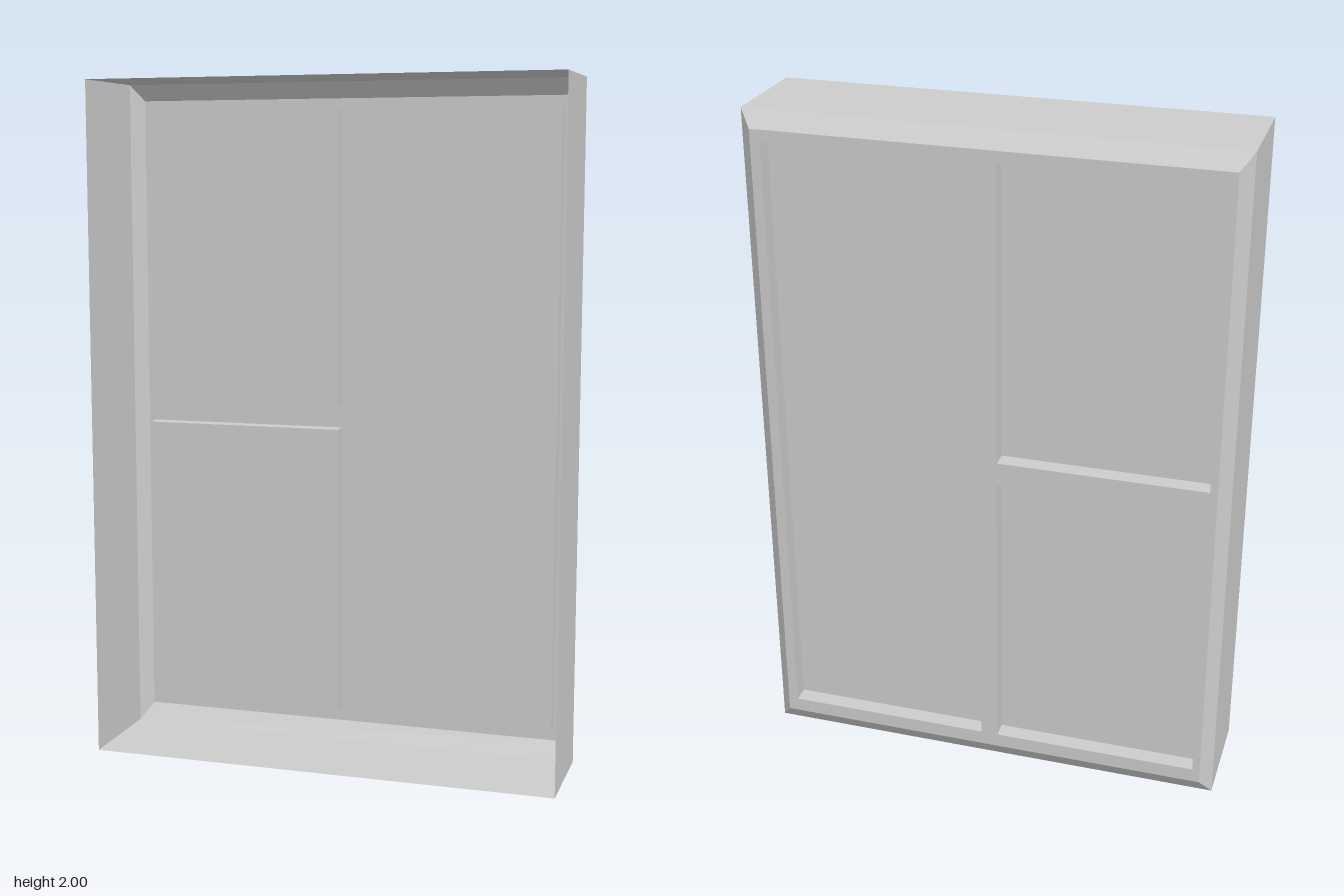
import * as THREE from 'three';

const FRONT = 0.174, CREASE = -0.14, BACK = -0.174, PANE = -0.123;

const material = new THREE.MeshStandardMaterial({
  color: 0xcccccc, flatShading: true, side: THREE.DoubleSide,
});

const corners = ([x0, y0, x1, y1]) => [[x0, y0], [x1, y0], [x1, y1], [x0, y1]];

// Open rectangular sleeve running through a list of { rect, z } sections
function sleeve(sections) {
  const pos = [];
  for (let s = 0; s < sections.length - 1; s++) {
    const [a, b] = [sections[s], sections[s + 1]].map(
      ({ rect, z }) => corners(rect).map(([x, y]) => [x, y, z]));
    for (let i = 0; i < 4; i++) {
      const j = (i + 1) % 4;
      pos.push(...a[i], ...b[i], ...b[j], ...a[i], ...b[j], ...a[j]);
    }
  }
  const g = new THREE.BufferGeometry();
  g.setAttribute('position', new THREE.Float32BufferAttribute(pos, 3));
  g.computeVertexNormals();
  return g;
}

// Flat sheet at depth z, optionally pierced by rectangular holes
function sheet(rect, z, holes = []) {
  const points = (r) => corners(r).map(([x, y]) => new THREE.Vector2(x, y));
  const shape = new THREE.Shape(points(rect));
  for (const h of holes) shape.holes.push(new THREE.Path(points(h).reverse()));
  return new THREE.ShapeGeometry(shape).translate(0, 0, z);
}

export function createModel() {
  const model = new THREE.Group();
  model.name = 'window';
  const add = (name, geometry) => {
    const mesh = new THREE.Mesh(geometry, material);
    mesh.name = name;
    model.add(mesh);
  };

  const outer = [-0.697, 0, 0.697, 2];
  const inner = [-0.662, 0.05, 0.662, 1.953];
  const panes = {
    lowerRight: [-0.64, 0.093, -0.03, 0.97],
    upperRight: [-0.64, 1.04, -0.03, 1.918],
    tallLeft: [0.02, 0.093, 0.633, 1.918],
  };

  // Deep surround, open at the front, with a bevel around the back
  add('surround', sleeve([
    { rect: outer, z: FRONT }, { rect: outer, z: CREASE }, { rect: inner, z: BACK },
  ]));

  // Frame with its mullion and crossbar
  add('frame', sheet(inner, BACK, Object.values(panes)));

  // Each pane is set in from the back by its jamb
  for (const [name, rect] of Object.entries(panes)) {
    add(name + 'Jamb', sleeve([{ rect, z: BACK }, { rect, z: PANE }]));
    add(name + 'Pane', sheet(rect, PANE));
  }
  return model;
}
